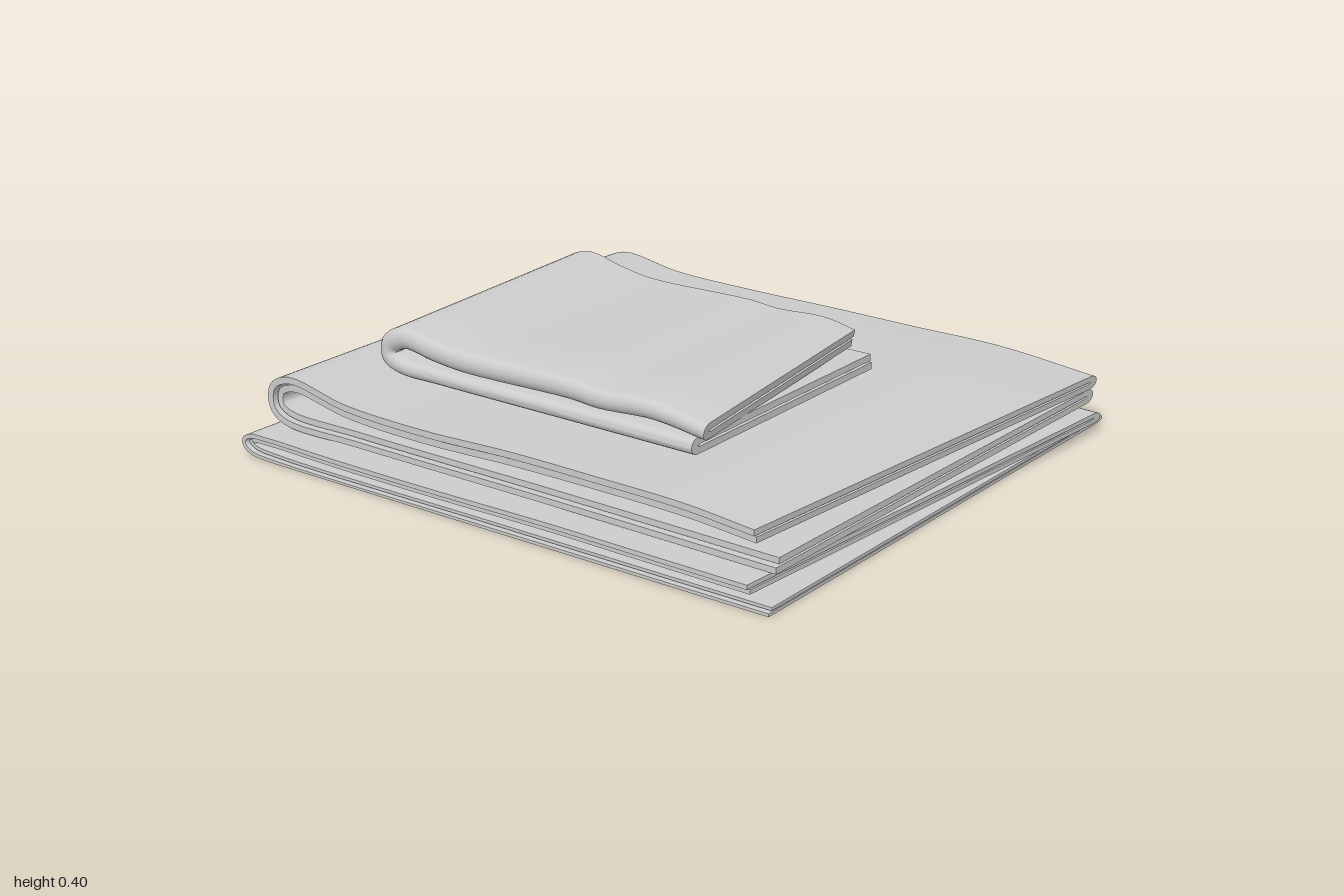
import * as THREE from 'three';
import { toCreasedNormals } from 'three/addons/utils/BufferGeometryUtils.js';

const lerp = THREE.MathUtils.lerp;
const material = new THREE.MeshStandardMaterial({ color: 0xcccccc, side: THREE.DoubleSide });

// Hairpin cross-section [s, n]: s runs from open edge (0) to folded edge (1),
// n runs from the inner face (-1) to the outer face (1) of the doubled cloth.
function hairpin(r, gap) {
  const pts = [[0, 1], [0.25, 1], [0.5, 1], [0.75, 1]];
  for (let i = 0; i <= 8; i++) {
    const a = Math.PI * (0.5 - i / 8);
    pts.push([1 - r + r * Math.cos(a), Math.sin(a)]);
  }
  pts.push([0.75, -1], [0.5, -1], [0.25, -1], [0.008, -1], [0.008, -gap]);
  pts.push([0.5, -gap], [1 - 1.4 * r, -gap], [1 - r, 0], [1 - 1.4 * r, gap], [0.5, gap], [0, gap]);
  return pts;
}

// Sweeps the hairpin along a U-shaped path, from the top right, round the left fold, to the bottom right.
// path points: [x, y, half thickness, dx at back, dy at back]
function foldedCloth(name, { path, front, back, foldAtBack, gap = 0.14, round = 0.02, corner = 0 }) {
  const curveAt = (k) => new THREE.CatmullRomCurve3(
    path.map(([x, y, h, dx, dy]) => new THREE.Vector3(x + k * dx, y + k * dy, h)), false, 'centripetal');
  const curves = [curveAt(0), curveAt(1)];
  const section = hairpin(round, gap);
  const n = section.length, steps = (path.length - 1) * 6;
  const pos = [], index = [];

  for (let i = 0; i <= steps; i++) {
    const u = i / steps;
    // one frame for each end of the cloth
    const frames = curves.map((c) => {
      const p = c.getPoint(u);
      const a = c.getPoint(Math.max(0, u - 0.005)), b = c.getPoint(Math.min(1, u + 0.005));
      const t = new THREE.Vector2(b.x - a.x, b.y - a.y).normalize();
      return { p, nx: t.y, ny: -t.x };
    });
    const bend = Math.exp(-(((u - 0.62) / 0.1) ** 2));
    const zf = lerp(front[0], front[1], u) - corner * 0.3 * bend;
    const zb = lerp(back[0], back[1], u) + corner * bend;
    for (const [s, w] of section) {
      const k = foldAtBack ? s : 1 - s;
      const [x, y] = ['x', 'y'].map((axis) => {
        const [f, b] = frames.map((fr) => fr.p[axis] + fr['n' + axis] * w * fr.p.z);
        return lerp(f, b, k);
      });
      pos.push(x, Math.max(0, y), lerp(zf, zb, k));
    }
  }

  for (let i = 0; i < steps; i++) {
    for (let j = 0; j < n; j++) {
      const a = i * n + j, b = i * n + (j + 1) % n;
      index.push(a, b, a + n, b, b + n, a + n);
    }
  }
  // Raw edges at both ends of the path
  const outline = section.map(([s, w]) => new THREE.Vector2(s, w));
  const flip = THREE.ShapeUtils.isClockWise(outline);
  if (flip) outline.reverse();
  const id = (v) => (flip ? n - 1 - v : v);
  for (const [a, b, c] of THREE.ShapeUtils.triangulateShape(outline, [])) {
    const f = [id(a), id(b), id(c)];
    if (!flip) f.reverse();
    index.push(...f);
    index.push(...f.reverse().map((v) => v + steps * n));
  }

  // Turn all faces outward, judged by the enclosed volume
  let volume = 0;
  const P = (i) => new THREE.Vector3().fromArray(pos, i * 3);
  for (let i = 0; i < index.length; i += 3) {
    volume += P(index[i]).dot(P(index[i + 1]).cross(P(index[i + 2])));
  }
  if (volume < 0) index.reverse();

  const geometry = new THREE.BufferGeometry();
  geometry.setAttribute('position', new THREE.Float32BufferAttribute(pos, 3));
  geometry.setIndex(index);
  const mesh = new THREE.Mesh(toCreasedNormals(geometry, 0.8), material);
  mesh.name = name;
  return mesh;
}

export function createModel() {
  const group = new THREE.Group();
  group.name = 'foldedClothStack';

  // Large thin cloth on the ground
  group.add(foldedCloth('bottomCloth', {
    path: [
      [0.88, 0.056, 0.016, 0.11, -0.004], [0.5, 0.058, 0.016, 0, 0], [0.2, 0.06, 0.016, 0, 0],
      [-0.2, 0.056, 0.016, 0, 0], [-0.6, 0.056, 0.016, 0, 0], [-0.88, 0.06, 0.016, 0.02, 0],
      [-0.955, 0.054, 0.016, 0.03, 0], [-0.98, 0.037, 0.016, 0.03, 0], [-0.95, 0.02, 0.014, 0.03, 0],
      [-0.85, 0.012, 0.012, 0.01, 0], [0, 0.011, 0.011, 0, 0], [0.95, 0.011, 0.011, 0, 0],
    ],
    front: [0.9, 0.9], back: [-0.82, -0.91], foldAtBack: true, corner: 0.03,
  }));

  // Large thick cloth
  group.add(foldedCloth('middleCloth', {
    path: [
      [0.83, 0.16, 0.022, 0.13, -0.005], [0.6, 0.178, 0.023, 0.03, 0.004], [0.3, 0.182, 0.023, 0, 0],
      [0, 0.182, 0.024, 0, 0], [-0.35, 0.172, 0.024, 0, 0.008], [-0.65, 0.182, 0.024, 0, 0.004],
      [-0.87, 0.218, 0.025, 0, -0.005], [-0.935, 0.188, 0.025, 0.01, -0.005],
      [-0.938, 0.14, 0.025, 0.01, 0], [-0.89, 0.11, 0.024, 0.01, 0], [-0.6, 0.105, 0.022, 0, 0],
      [0.1, 0.105, 0.022, 0, 0], [0.91, 0.1, 0.022, 0.03, 0],
    ],
    front: [0.8, 0.81], back: [-0.84, -0.86], foldAtBack: true, corner: 0.02,
  }));

  // Small cloth on top, doubled along its front edge
  group.add(foldedCloth('topCloth', {
    path: [
      [0.485, 0.295, 0.026, -0.1, 0.015], [0.3, 0.32, 0.03, -0.02, 0.005], [0.1, 0.312, 0.032, 0, 0.005],
      [0, 0.32, 0.033, 0, 0.004], [-0.4, 0.315, 0.034, 0, 0.005], [-0.52, 0.325, 0.034, 0, 0.014],
      [-0.64, 0.341, 0.034, -0.01, 0.022], [-0.7, 0.31, 0.034, -0.02, 0.012],
      [-0.7, 0.275, 0.032, -0.02, 0.004], [-0.65, 0.254, 0.028, -0.01, 0], [-0.5, 0.25, 0.025, 0, 0],
      [0, 0.25, 0.025, 0, 0], [0.455, 0.25, 0.025, 0, 0],
    ],
    front: [0.555, 0.57], back: [-0.35, -0.345], foldAtBack: false, round: 0.03, corner: 0.012,
  }));

  return group;
}
